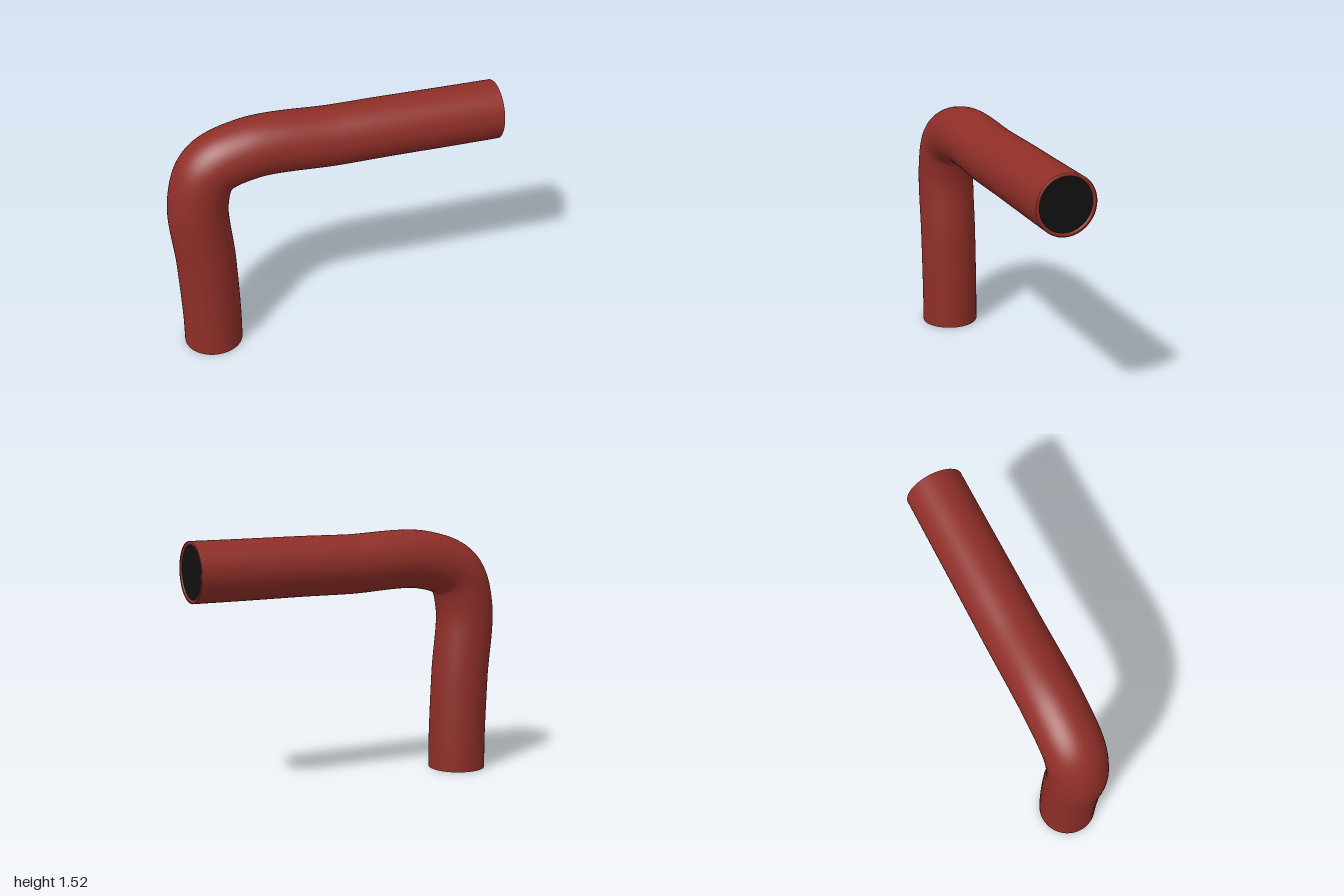
import * as THREE from 'three';

const RADIUS = 0.178;

export function createModel() {
  const group = new THREE.Group();
  const red = new THREE.MeshStandardMaterial({ color: 0x8f2e28, side: THREE.DoubleSide });
  const black = new THREE.MeshStandardMaterial({ color: 0x111111, side: THREE.DoubleSide });
  const add = (name, geometry, material) => {
    const mesh = new THREE.Mesh(geometry, material);
    mesh.name = name;
    group.add(mesh);
    return mesh;
  };

  // Bent pipe: slightly bowed upright leg, tight elbow, long horizontal run
  const path = new THREE.CatmullRomCurve3([
    [-0.782, 0], [-0.782, 0.2], [-0.797, 0.6], [-0.822, 1.03], [-0.747, 1.24],
    [-0.51, 1.334], [0, 1.328], [0.3, 1.329], [0.7, 1.326], [1, 1.325],
  ].map(([x, y]) => new THREE.Vector3(x, y, 0)), false, 'centripetal');
  add('pipe', new THREE.TubeGeometry(path, 120, RADIUS, 48, false), red);

  // Rounded lip around the outlet
  const lip = add('outletLip', new THREE.TorusGeometry(RADIUS - 0.011, 0.011, 12, 48), red);
  lip.position.set(0.989, 1.325, 0);
  lip.rotation.y = Math.PI / 2;

  // Dark opening inside the lip
  const opening = add('outletOpening', new THREE.CircleGeometry(RADIUS - 0.018, 48), black);
  opening.position.set(0.992, 1.325, 0);
  opening.rotation.y = Math.PI / 2;

  return group;
}
